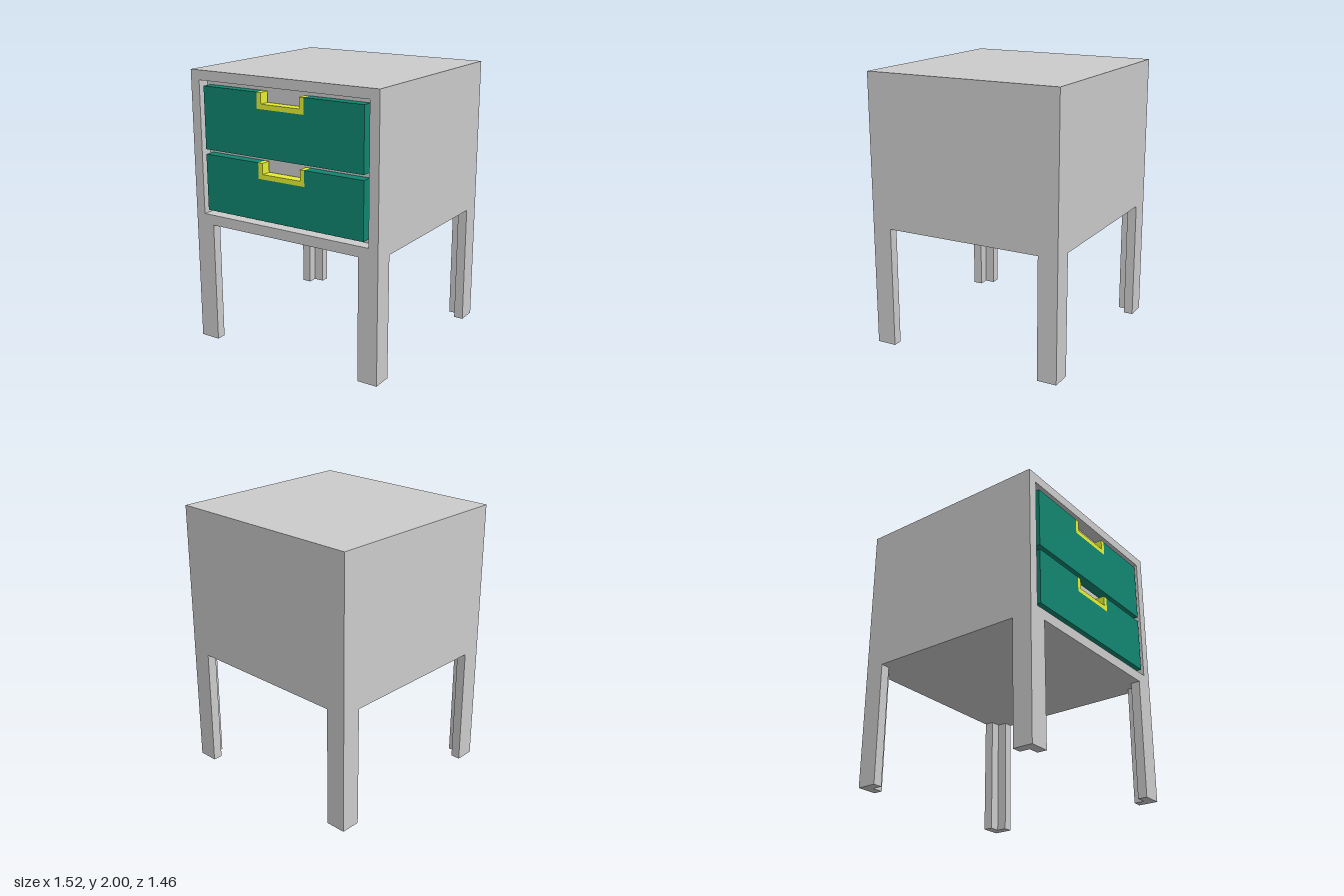
import * as THREE from 'three';

const W = 0.76, D = 0.73, H = 2, BASE = 0.89; // half width, half depth, height, cabinet underside
const RECESS = 0.085, PANEL = 0.075;

const grey = new THREE.MeshStandardMaterial({ color: 0xcccccc });
const green = new THREE.MeshStandardMaterial({ color: 0x118670 });
const yellow = new THREE.MeshStandardMaterial({ color: 0xe6ee33 });

const polygon = (pts) => new THREE.Shape(pts.map(([x, y]) => new THREE.Vector2(x, y)));
const rect = (x, y0, y1) => [[-x, y0], [x, y0], [x, y1], [-x, y1]];

// Extrudes an outline along z, from zBack forward
function extruded(name, shape, depth, zBack, material) {
  const geo = new THREE.ExtrudeGeometry(shape, { depth, bevelEnabled: false });
  geo.translate(0, 0, zBack);
  const mesh = new THREE.Mesh(geo, material);
  mesh.name = name;
  return mesh;
}

// Drawer front with a notch in its top edge, lined by a U-shaped handle
function createDrawer(name, y0, y1) {
  const drawer = new THREE.Group();
  drawer.name = name;
  const hx = 0.19, t = 0.035, hy = y1 - 0.113;
  const front = polygon([
    [-0.65, y0], [0.65, y0], [0.65, y1], [hx, y1],
    [hx, hy], [-hx, hy], [-hx, y1], [-0.65, y1],
  ]);
  const handle = polygon([
    [-hx, hy], [hx, hy], [hx, y1], [hx - t, y1],
    [hx - t, hy + t], [-hx + t, hy + t], [-hx + t, y1], [-hx, y1],
  ]);
  drawer.add(
    extruded('drawerFront', front, PANEL, D - PANEL, green),
    extruded('handle', handle, PANEL, D - PANEL, yellow),
  );
  return drawer;
}

// L-shaped leg standing in the corner given by the signs sx, sz
function createLeg(name, sx, sz) {
  const w = 0.15, d = 0.145, t = 0.07;
  const pts = [[0, 0], [w, 0], [w, t], [t, t], [t, d], [0, d]]
    .map(([a, b]) => [sx * (W - a), -sz * (D - b)]);
  const geo = new THREE.ExtrudeGeometry(polygon(pts), { depth: BASE, bevelEnabled: false });
  geo.rotateX(-Math.PI / 2);
  const mesh = new THREE.Mesh(geo, grey);
  mesh.name = name;
  return mesh;
}

export function createModel() {
  const model = new THREE.Group();
  model.name = 'nightstand';

  // Cabinet walls, open at the front
  const walls = polygon(rect(W, BASE, H));
  walls.holes.push(new THREE.Path(polygon(rect(0.688, 0.965, 1.93)).getPoints()));
  model.add(extruded('cabinetWalls', walls, 2 * D, -D, grey));

  // Filled body behind the drawer recess
  model.add(extruded('cabinetBack', polygon(rect(0.688, 0.965, 1.93)), 2 * D - RECESS, -D, grey));

  model.add(createDrawer('upperDrawer', 1.445, 1.893));
  model.add(createDrawer('lowerDrawer', 1.0, 1.41));

  for (const [sx, side] of [[1, 'Left'], [-1, 'Right']])
    for (const [sz, end] of [[1, 'front'], [-1, 'back']])
      model.add(createLeg(`${end}${side}Leg`, sx, sz));

  return model;
}
